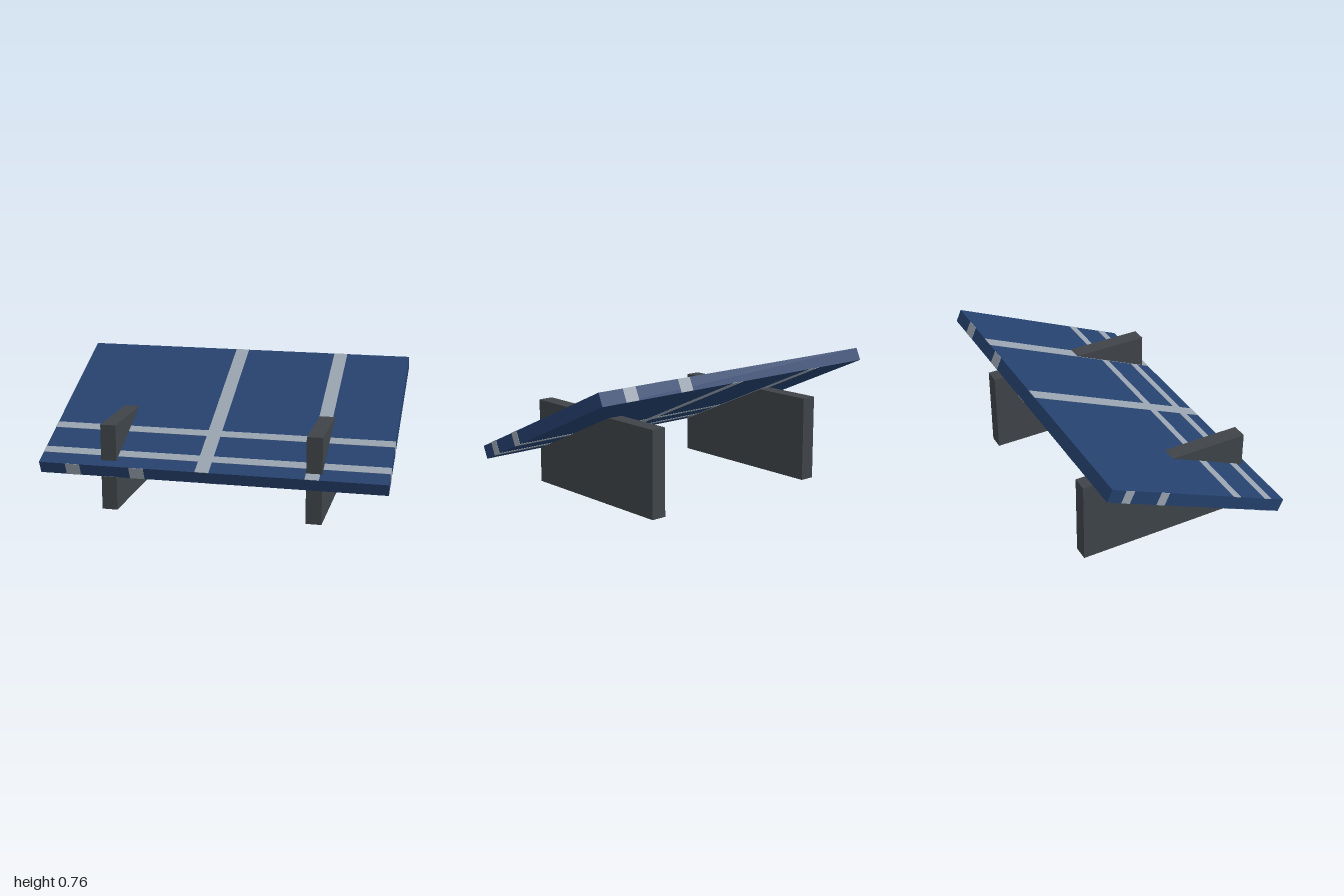
import * as THREE from 'three';

const material = (name, color) => {
  const m = new THREE.MeshStandardMaterial({ color });
  m.name = name;
  return m;
};

export function createModel() {
  const navy = material('navy blue', 0x25416e);
  const silver = material('pale grey', 0x99a4b0);
  const charcoal = material('charcoal', 0x3f4449);

  const model = new THREE.Group();
  model.name = 'tiltedPanel';

  const addBox = (parent, name, mat, size, position) => {
    const mesh = new THREE.Mesh(new THREE.BoxGeometry(...size), mat);
    mesh.name = name;
    mesh.position.set(...position);
    parent.add(mesh);
  };

  // Upright supports, cutting through the panel
  addBox(model, 'rightSupport', charcoal, [0.09, 0.5, 1.025], [-0.594, 0.25, 0]);
  addBox(model, 'leftSupport', charcoal, [0.09, 0.5, 1.025], [0.587, 0.25, 0]);

  // Sloping panel, with all its stripes in the panel's own frame
  const W = 2, T = 0.077, L = 1.188;
  const panel = new THREE.Group();
  panel.name = 'panel';
  panel.position.y = 0.478;
  panel.rotation.x = THREE.MathUtils.degToRad(24.1);
  model.add(panel);
  addBox(panel, 'slab', navy, [W - 0.002, T, L], [0, 0, 0]);

  const thin = 0.003;
  const lengthwise = [-0.04, 0.58]; // x of the stripes that run front to back
  const crosswise = [0.249, 0.477]; // z of the stripes that run side to side

  // Stripes on the top, mirrored left to right underneath
  for (const side of [1, -1]) {
    const y = side * T / 2;
    const face = side > 0 ? 'top' : 'bottom';
    for (const x of lengthwise) addBox(panel, face + 'LongStripe', silver, [0.08, thin, L], [side * x, y, 0]);
    for (const z of crosswise) addBox(panel, face + 'CrossStripe', silver, [W, thin, 0.052], [0, y, z]);
  }

  // Patches on the four edges
  for (const side of [1, -1]) {
    for (const z of crosswise) {
      addBox(panel, 'sideEdgePatch', silver, [thin, T, 0.054], [side * (W / 2 - 0.001), 0, side * z]);
    }
    for (const x of [0.8, 0.422]) {
      addBox(panel, 'endEdgePatch', silver, [0.085, T, thin], [-side * x, 0, side * L / 2]);
    }
  }

  return model;
}
